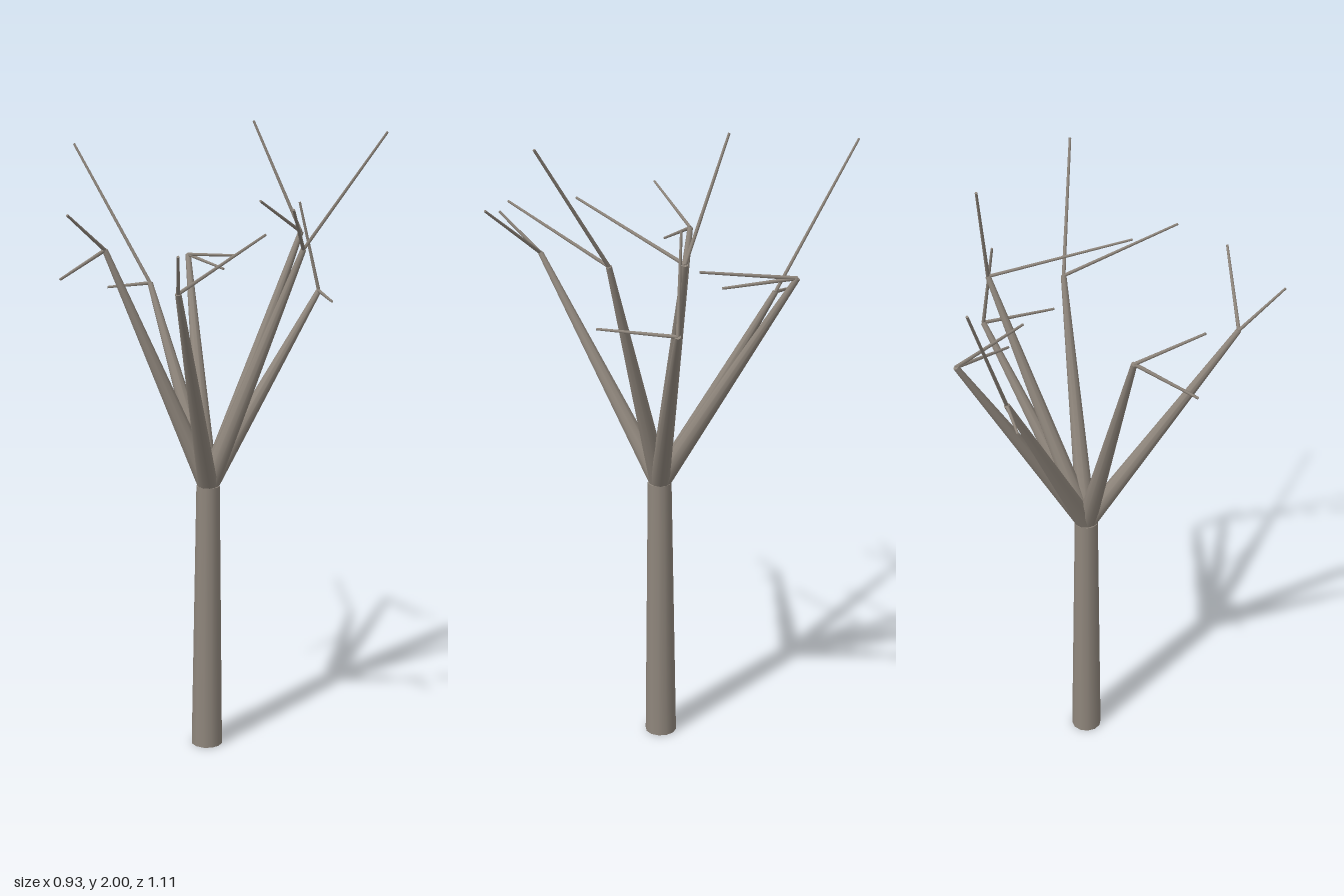
import * as THREE from 'three';

const material = new THREE.MeshStandardMaterial({ color: 0x8f867c, roughness: 0.9 });
const UP = new THREE.Vector3(0, 1, 0);

// Tapered round limb running from one point to another
function limb(name, from, to, r0, r1, sides) {
  const a = new THREE.Vector3(...from);
  const dir = new THREE.Vector3(...to).sub(a);
  const length = dir.length();
  const geometry = new THREE.CylinderGeometry(r1, r0, length, sides);
  geometry.translate(0, length / 2, 0);
  const mesh = new THREE.Mesh(geometry, material);
  mesh.name = name;
  mesh.position.copy(a);
  mesh.quaternion.setFromUnitVectors(UP, dir.normalize());
  return mesh;
}

// Each branch: its tip, and the ends of the two twigs that fork from it
const BRANCHES = [
  { tip: [-0.355, 1.55, 0.335], twigs: [[-0.463, 1.67, 0.435], [-0.23, 1.72, 0.545]] },
  { tip: [-0.2, 1.625, -0.115], twigs: [[-0.395, 1.745, -0.07], [-0.395, 1.555, -0.105]] },
  { tip: [0.14, 1.48, -0.255], twigs: [[0.088, 1.92, -0.553], [0.05, 1.465, -0.362]] },
  { tip: [0.31, 1.56, -0.243], twigs: [[0.23, 1.585, 0.035], [0.248, 1.535, -0.03]] },
  { tip: [0.41, 1.655, 0.155], twigs: [[0.353, 2.0, 0.0], [0.0, 1.785, 0.33]] },
  { tip: [0.456, 1.465, 0.196], twigs: [[0.292, 1.465, 0.376], [0.395, 1.75, 0.16]] },
  { tip: [0.226, 1.625, 0.313], twigs: [[0.313, 1.98, 0.55], [-0.075, 1.775, 0.515]] },
];

export function createModel() {
  const tree = new THREE.Group();
  tree.name = 'bareTree';

  // Trunk
  const crown = [0.045, 0.875, 0.09];
  tree.add(limb('trunk', [0.045, 0, 0.09], crown, 0.051, 0.038, 12));

  // Branches fanning out of the crown, each forking into two twigs
  for (const { tip, twigs } of BRANCHES) {
    const branch = new THREE.Group();
    branch.name = 'branch';
    branch.add(limb('branchLimb', crown, tip, 0.032, 0.009, 10));
    for (const end of twigs) branch.add(limb('twig', tip, end, 0.006, 0.004, 6));
    tree.add(branch);
  }
  return tree;
}
